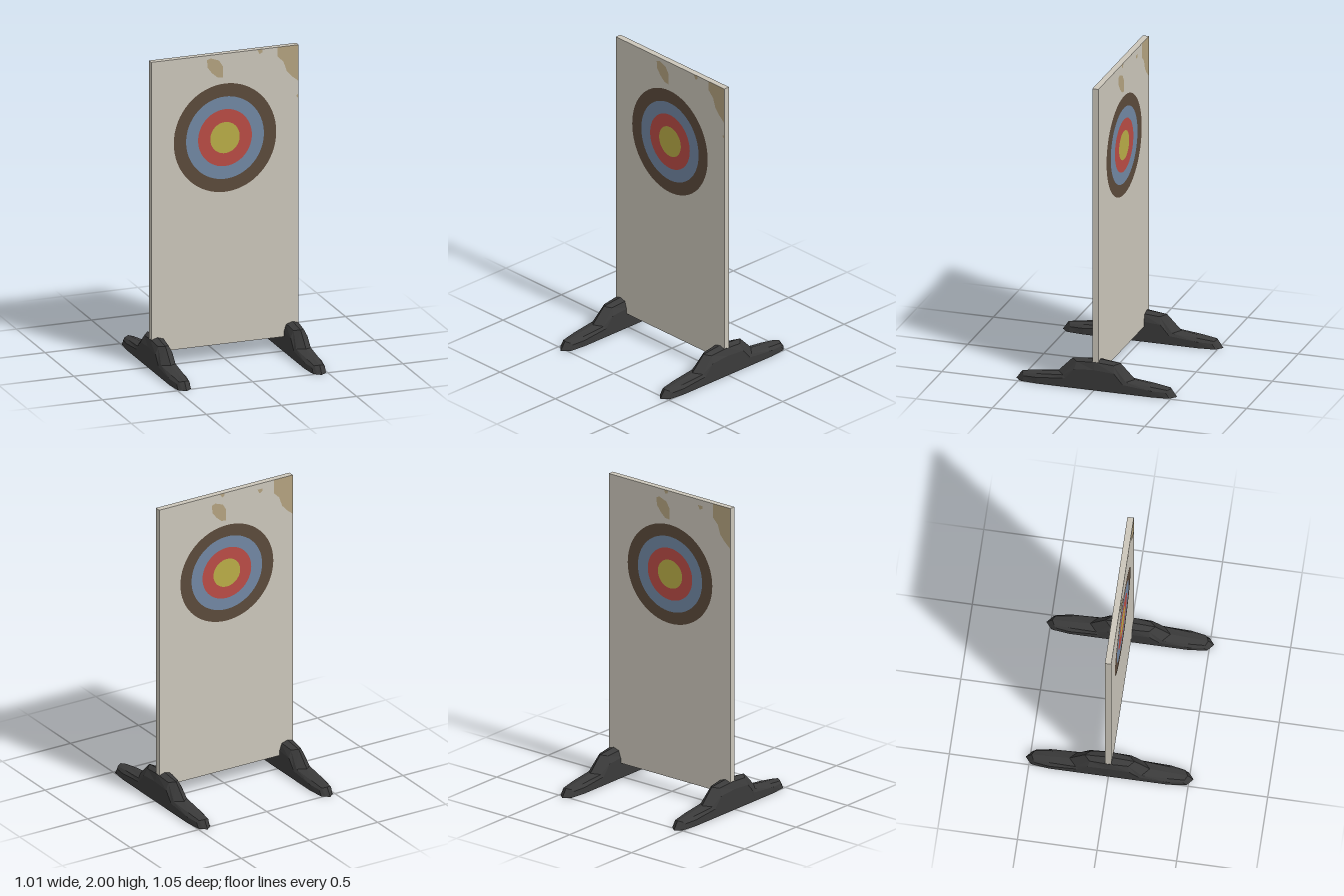
import * as THREE from 'three';

const material = (name, color, extra = {}) => {
  const m = new THREE.MeshStandardMaterial({ color, ...extra });
  m.name = name;
  return m;
};

// Half of a foot, from tip to middle: [x, y, z] of base, shoulder, edge and ridge
const FOOT_STATIONS = [
  [[0.043, 0, 0.49], [0.03, 0, 0.501], [0.02, 0, 0.51], [0, 0, 0.527]],
  [[0.046, 0, 0.475], [0.043, 0.035, 0.465], [0.03, 0.047, 0.475], [0, 0.053, 0.49]],
  [[0.057, 0, 0.375], [0.057, 0.04, 0.375], [0.04, 0.06, 0.37], [0, 0.067, 0.375]],
  [[0.057, 0, 0.2], [0.057, 0.058, 0.19], [0.048, 0.075, 0.207], [0, 0.084, 0.252]],
  [[0.057, 0, 0.14], [0.056, 0.125, 0.13], [0.034, 0.17, 0.122], [0, 0.18, 0.157]],
  [[0.057, 0, 0], [0.057, 0.135, 0], [0.042, 0.182, 0], [0, 0.195, 0]],
];

// Low-poly foot lofted along z, symmetric in x and z
function footGeometry() {
  const back = FOOT_STATIONS.slice(0, -1).reverse().map(s => s.map(([x, y, z]) => [x, y, -z]));
  const rings = [...FOOT_STATIONS, ...back].map(s =>
    [...s, ...s.slice(0, 3).reverse().map(([x, y, z]) => [-x, y, z])]);
  const pos = [];
  const tri = (a, b, c) => pos.push(...a, ...b, ...c);
  for (let i = 0; i < rings.length - 1; i++) {
    const p = rings[i], q = rings[i + 1], n = p.length;
    for (let c = 0; c < n; c++) {
      const d = (c + 1) % n;
      tri(p[c], q[c], p[d]);
      tri(p[d], q[c], q[d]);
    }
  }
  // undersides of the two pointed ends
  const f = rings[0], b = rings[rings.length - 1];
  tri(f[0], f[3], f[6]);
  tri(b[0], b[6], b[3]);
  const g = new THREE.BufferGeometry();
  g.setAttribute('position', new THREE.Float32BufferAttribute(pos, 3));
  g.computeVertexNormals();
  return g;
}

const CORNER_STAIN = [[0.35, 2], [0.35, 1.94], [0.39, 1.9], [0.41, 1.84], [0.445, 1.8], [0.488, 1.765], [0.488, 2]];
const BLOB_STAIN = [[-0.12, 1.97], [-0.095, 1.98], [-0.04, 1.96], [-0.015, 1.92], [-0.015, 1.845],
  [-0.05, 1.85], [-0.085, 1.88], [-0.115, 1.92]];
const DOT_STAIN = [[0.215, 1.998], [0.25, 1.998], [0.25, 1.98], [0.23, 1.97]];
const CHIP_STAIN = [[0.475, 1.67], [0.485, 1.68], [0.487, 1.66], [0.48, 1.655]];

export function createModel() {
  const model = new THREE.Group();
  model.name = 'archeryTarget';

  const board = material('board cream', 0xcbc6ba);
  const stain = material('stain tan', 0xb3a27f);
  const brown = material('ring brown', 0x5b4a3b);
  const blue = material('ring blue', 0x7187a3);
  const red = material('ring red', 0xb94c45);
  const yellow = material('bullseye yellow', 0xb9ac47);
  const rubber = material('foot charcoal', 0x3a3a3a, { flatShading: true });

  const add = (parent, name, geometry, mat) => {
    const mesh = new THREE.Mesh(geometry, mat);
    mesh.name = name;
    parent.add(mesh);
    return mesh;
  };

  // Upright board
  const boardZ = -0.004, depth = 0.04;
  add(model, 'board', new THREE.BoxGeometry(0.98, 1.9, depth), board).position.set(0, 1.05, boardZ);

  // Painted face: concentric rings and worn patches
  const paintedFace = (name, ry, cx, stains) => {
    const face = new THREE.Group();
    face.name = name;
    const rings = [['outerRing', 0.259, 0.341, brown], ['middleRing', 0.179, 0.259, blue],
      ['innerRing', 0.098, 0.179, red]];
    const place = mesh => {
      mesh.scale.y = ry;
      mesh.position.set(cx, 1.45, 0);
    };
    for (const [n, r0, r1, mat] of rings) place(add(face, n, new THREE.RingGeometry(r0, r1, 64), mat));
    place(add(face, 'bullseye', new THREE.CircleGeometry(0.098, 64), yellow));
    stains.forEach((points, i) => {
      const shape = new THREE.Shape(points.map(([x, y]) => new THREE.Vector2(x, y)));
      add(face, 'stain' + (i + 1), new THREE.ShapeGeometry(shape), stain);
    });
    model.add(face);
    return face;
  };
  const lift = depth / 2 + 0.0015;
  paintedFace('frontFace', 1.04, 0, [CORNER_STAIN, BLOB_STAIN, DOT_STAIN, CHIP_STAIN])
    .position.z = boardZ + lift;

  // The back pattern sits slightly lower
  const lower = pts => pts.map(([x, y]) => [x + 0.015, y - 0.035]);
  const speck = [[-0.045, 1.998], [-0.01, 1.998], [-0.015, 1.98], [-0.03, 1.975]];
  const backCorner = CORNER_STAIN.map(([x, y]) => [x, y === 2 ? 2 : y - 0.03]);
  const backFace = paintedFace('backFace', 0.96, 0.005, [backCorner, lower(BLOB_STAIN), lower(DOT_STAIN), speck]);
  backFace.rotation.y = Math.PI;
  backFace.position.z = boardZ - lift;

  // Feet
  const foot = footGeometry();
  for (const [name, x] of [['leftFoot', 0.45], ['rightFoot', -0.45]]) {
    add(model, name, foot, rubber).position.x = x;
  }
  return model;
}
